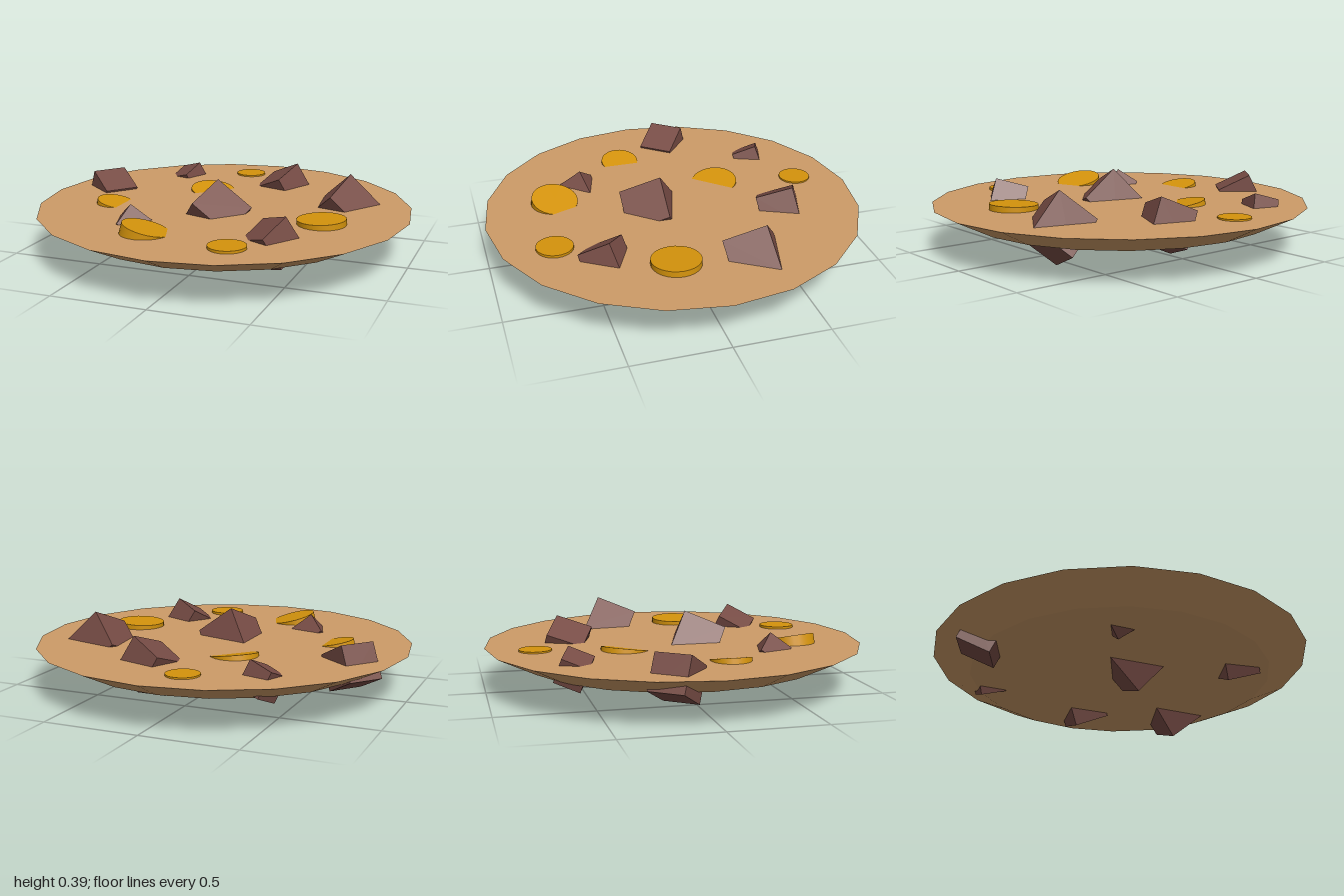
import * as THREE from 'three';

const dough = new THREE.MeshStandardMaterial({ color: 0xcd9b67 });
const chocolate = new THREE.MeshStandardMaterial({ color: 0x774c45 });
const candy = new THREE.MeshStandardMaterial({ color: 0xd4930c });
const V = (a) => new THREE.Vector3(...a);

// Cube chunk: centre, side and the directions of two of its edges
function chunk([centre, side, edgeA, edgeB]) {
  const mesh = new THREE.Mesh(new THREE.BoxGeometry(side, side, side), chocolate);
  const a = V(edgeA).normalize();
  const b = V(edgeB);
  b.addScaledVector(a, -b.dot(a)).normalize();
  const c = a.clone().cross(b);
  mesh.quaternion.setFromRotationMatrix(new THREE.Matrix4().makeBasis(a, b, c));
  mesh.position.set(...centre);
  mesh.name = 'chocolateChunk';
  return mesh;
}

// Round candy: middle of its upper face, radius and downhill slope in x and z
function disc([top, radius, slopeX, slopeZ]) {
  const thickness = 0.06;
  const mesh = new THREE.Mesh(new THREE.CylinderGeometry(radius, radius, thickness, 28), candy);
  const up = V([slopeX, 1, slopeZ]).normalize();
  mesh.quaternion.setFromUnitVectors(V([0, 1, 0]), up);
  mesh.position.set(...top).addScaledVector(up, -thickness / 2);
  mesh.name = 'candyDisc';
  return mesh;
}

export function createModel() {
  const model = new THREE.Group();
  model.name = 'cookie';

  // Flat body, narrower underneath
  const body = new THREE.Mesh(new THREE.CylinderGeometry(1, 0.8, 0.097, 20), dough);
  body.position.y = 0.188;
  body.name = 'cookieBody';
  model.add(body);

  // Chunks that go right through the body
  const chunks = [
    [[-0.01, 0.2, 0.115], 0.235, [0.19, -0.138, 0], [-0.11, -0.16, -0.1]],
    [[0.595, 0.2, -0.255], 0.233, [0.165, -0.16, -0.02], [-0.145, -0.15, -0.1]],
    [[0.165, 0.204, -0.555], 0.2, [0.094, -0.174, -0.029], [-0.15, -0.07, -0.07]],
    [[0.422, 0.206, 0.46], 0.18, [0.081, -0.153, -0.047], [-0.13, -0.043, -0.085]],
    [[-0.45, 0.203, -0.6], 0.14, [0.053, -0.124, -0.035], [-0.11, -0.034, -0.045]],
    [[-0.755, 0.203, -0.165], 0.19, [-0.63, 0, 0.78], [0.7, -0.435, 0.57]],
    [[-0.353, 0.205, 0.43], 0.135, [0.105, -0.085, -0.035], [-0.06, -0.085, -0.08]],
  ];
  chunks.forEach((c) => model.add(chunk(c)));

  // Discs, some sunk in at a slant
  const discs = [
    [[-0.11, 0.245, -0.75], 0.085, 0, 0],
    [[0.58, 0.263, 0.15], 0.127, -0.04, 0],
    [[0.275, 0.25, 0.69], 0.095, 0, 0],
    [[-0.18, 0.263, 0.605], 0.124, 0.25, -0.09],
    [[-0.18, 0.241, -0.295], 0.126, 0.14, 0.13],
    [[-0.57, 0.245, 0.153], 0.104, 0.21, 0],
  ];
  discs.forEach((d) => model.add(disc(d)));

  return model;
}
